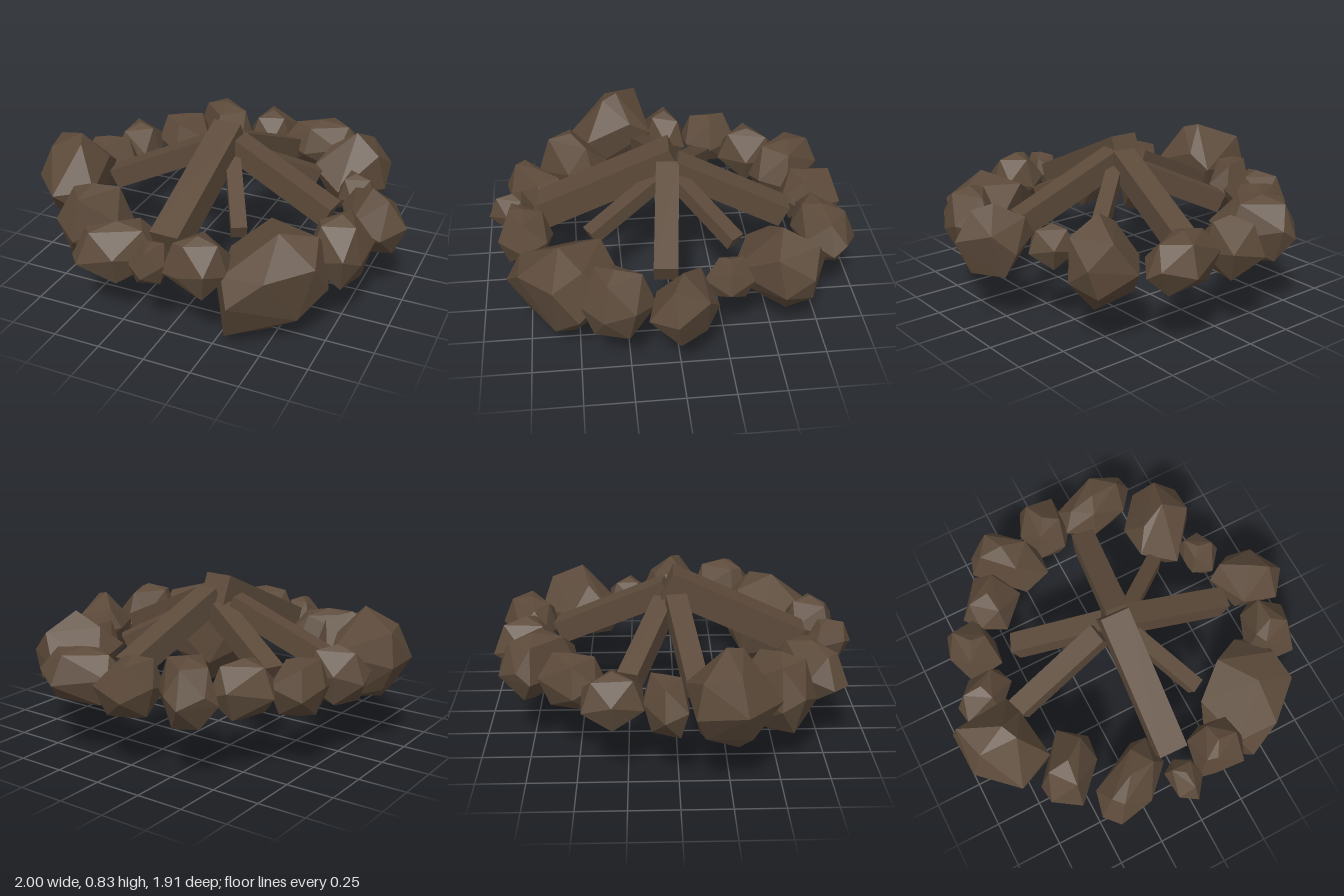
import * as THREE from 'three';
import { ConvexGeometry } from 'three/addons/geometries/ConvexGeometry.js';

// Boulder: the hull of a few corners
function hullRock(corners) {
  return new ConvexGeometry(corners.map((c) => new THREE.Vector3(...c)));
}

// Stone: an x, z outline at mid height, closing in to a peak and a base
function outlineRock(y0, y1, outline) {
  const mid = (y0 + y1) / 2, h = (y1 - y0) / 2, n = outline.length;
  const cx = outline.reduce((s, o) => s + o[0], 0) / n;
  const cz = outline.reduce((s, o) => s + o[1], 0) / n;
  const points = [[cx, y1, cz], [cx, y0, cz]];
  outline.forEach(([x, z], i) => {
    const side = i % 2 ? -1 : 1;
    points.push([x, mid - side * 0.15 * h, z]);
    points.push([cx + (x - cx) * 0.66, mid + side * 0.82 * h, cz + (z - cz) * 0.66]);
  });
  return hullRock(points);
}

export function createModel() {
  const group = new THREE.Group();
  group.name = 'campfire';
  const brown = new THREE.MeshStandardMaterial({ color: 0x5c4a3a, flatShading: true });
  brown.name = 'brown';

  const ring = new THREE.Group();
  ring.name = 'stoneRing';
  const addStone = (name, geometry) => {
    const stone = new THREE.Mesh(geometry, brown);
    stone.name = name;
    ring.add(stone);
  };

  // Boulders
  addStone('frontLeftBoulder', hullRock([
    [0.455, 0, 0.52], [0.32, 0.08, 0.77], [0.37, 0.30, 0.86], [0.53, 0.44, 0.79],
    [0.21, 0.26, 0.61], [0.64, 0.165, 0.62], [0.75, 0.30, 0.50], [0.72, 0.47, 0.62],
    [0.52, 0.60, 0.58], [0.40, 0.55, 0.37], [0.57, 0.43, 0.28], [0.70, 0.42, 0.35],
    [0.24, 0.42, 0.50], [0.31, 0.42, 0.78], [0.68, 0.56, 0.47], [0.36, 0.16, 0.41],
    [0.55, 0.23, 0.34],
  ]));
  addStone('rightBoulder', hullRock([
    [-1, 0.47, 0.07], [-0.97, 0.64, 0.10], [-0.76, 0.725, 0.22], [-0.72, 0.70, 0.30],
    [-0.67, 0.50, 0.03], [-0.60, 0.49, 0.40], [-0.62, 0.31, 0.38], [-0.80, 0.46, 0.49],
    [-0.84, 0.24, 0.28], [-0.99, 0.47, 0.31], [-0.75, 0.27, 0.10], [-0.92, 0.33, 0.12],
    [-0.64, 0.58, 0.15], [-0.92, 0.64, 0.28], [-0.88, 0.30, 0.34],
  ]));
  addStone('backLeftBoulder', hullRock([
    [0.35, 0.48, -0.38], [0.35, 0.42, -0.58], [0.50, 0.41, -0.76], [0.72, 0.45, -0.66],
    [0.73, 0.35, -0.52], [0.53, 0.40, -0.28], [0.55, 0.66, -0.52], [0.60, 0.57, -0.70],
    [0.60, 0.19, -0.55], [0.50, 0.26, -0.36], [0.42, 0.26, -0.62], [0.69, 0.56, -0.48],
    [0.42, 0.58, -0.48], [0.67, 0.30, -0.67],
  ]));
  addStone('leftBoulder', hullRock([
    [0.62, 0.45, -0.08], [0.79, 0.40, -0.18], [0.89, 0.50, -0.12], [1, 0.45, 0.04],
    [0.93, 0.28, 0.02], [0.90, 0.42, 0.17], [0.72, 0.45, 0.12], [0.80, 0.62, 0],
    [0.90, 0.59, 0.05], [0.75, 0.24, 0], [0.68, 0.55, -0.10], [0.70, 0.32, 0.08],
    [0.82, 0.27, -0.12],
  ]));

  // Oblong stones
  addStone('backLongStone', outlineRock(0.28, 0.58, [
    [0.04, -0.75], [0.06, -0.84], [0.32, -0.96], [0.47, -0.88],
    [0.50, -0.81], [0.40, -0.68], [0.20, -0.64], [0.05, -0.70]]));
  addStone('leftStone', outlineRock(0.23, 0.62, [
    [0.59, 0.37], [0.66, 0.18], [0.75, 0.12], [0.89, 0.23],
    [0.87, 0.38], [0.81, 0.485], [0.63, 0.46]]));
  addStone('frontStone', outlineRock(0.28, 0.60, [
    [0.03, 0.85], [0.06, 0.66], [0.16, 0.61], [0.30, 0.64],
    [0.34, 0.76], [0.27, 0.89], [0.12, 0.87]]));
  addStone('frontLongStone', outlineRock(0.21, 0.54, [
    [-0.50, 0.79], [-0.47, 0.66], [-0.19, 0.51], [-0.11, 0.53],
    [-0.08, 0.68], [-0.24, 0.84], [-0.43, 0.87]]));
  addStone('frontRightStone', outlineRock(0.16, 0.60, [
    [-0.71, 0.50], [-0.51, 0.28], [-0.37, 0.37], [-0.39, 0.52], [-0.56, 0.69], [-0.70, 0.61]]));
  addStone('backRightStone', outlineRock(0.285, 0.59, [
    [-0.68, -0.51], [-0.53, -0.69], [-0.41, -0.67], [-0.34, -0.49], [-0.49, -0.35], [-0.62, -0.40]]));
  addStone('backRightLongStone', outlineRock(0.26, 0.62, [
    [-0.52, -0.73], [-0.49, -0.80], [-0.40, -0.90], [-0.32, -0.89],
    [-0.13, -0.69], [-0.15, -0.53], [-0.30, -0.50]]));

  // Small stones
  addStone('backStone', outlineRock(0.27, 0.59, [
    [-0.12, -0.96], [0.07, -0.935], [0.075, -0.73], [0.005, -0.63], [-0.145, -0.65], [-0.19, -0.80]]));
  addStone('leftPebble', outlineRock(0.32, 0.55, [
    [0.565, -0.36], [0.695, -0.365], [0.76, -0.24], [0.66, -0.12], [0.565, -0.175], [0.55, -0.25]]));
  addStone('frontPebble', outlineRock(0.32, 0.55, [
    [-0.12, 0.75], [-0.05, 0.71], [0.04, 0.75], [0.05, 0.85], [-0.025, 0.95], [-0.115, 0.90]]));
  addStone('rightStone', outlineRock(0.27, 0.59, [
    [-0.915, -0.07], [-0.80, -0.17], [-0.635, -0.17], [-0.60, -0.06], [-0.72, 0.05], [-0.90, 0.04]]));
  addStone('rightRearStone', outlineRock(0.28, 0.58, [
    [-0.80, -0.465], [-0.62, -0.47], [-0.58, -0.32], [-0.60, -0.175], [-0.78, -0.165], [-0.84, -0.32]]));
  group.add(ring);

  // Logs leaning to the middle: inner x, z, outer x, z, height of inner top edge, thickness
  const logs = [
    [-0.008, -0.01, -0.035, 0.69, 0.835, 0.155],
    [0.03, -0.06, 0.12, -0.645, 0.77, 0.125],
    [-0.12, 0.005, -0.655, 0.095, 0.735, 0.11],
    [-0.06, -0.06, -0.515, -0.25, 0.70, 0.11],
    [0.07, 0.0, 0.63, 0.065, 0.77, 0.12],
    [0.08, -0.05, 0.405, -0.325, 0.70, 0.08],
    [0.06, 0.07, 0.255, 0.435, 0.68, 0.08],
  ];
  const slope = 0.455;
  const pile = new THREE.Group();
  pile.name = 'logPile';
  logs.forEach(([x0, z0, x1, z1, top, w], i) => {
    const run = Math.hypot(x1 - x0, z1 - z0);
    const length = run * Math.hypot(1, slope);
    const geo = new THREE.BoxGeometry(w, w, length);
    geo.translate(0, -w / 2, length / 2); // pivot on the inner top edge
    geo.rotateX(Math.atan(slope));
    const log = new THREE.Mesh(geo, brown);
    log.name = 'log' + (i + 1);
    log.position.set(x0, top, z0);
    log.rotation.y = Math.atan2(x1 - x0, z1 - z0);
    pile.add(log);
  });
  group.add(pile);
  return group;
}
